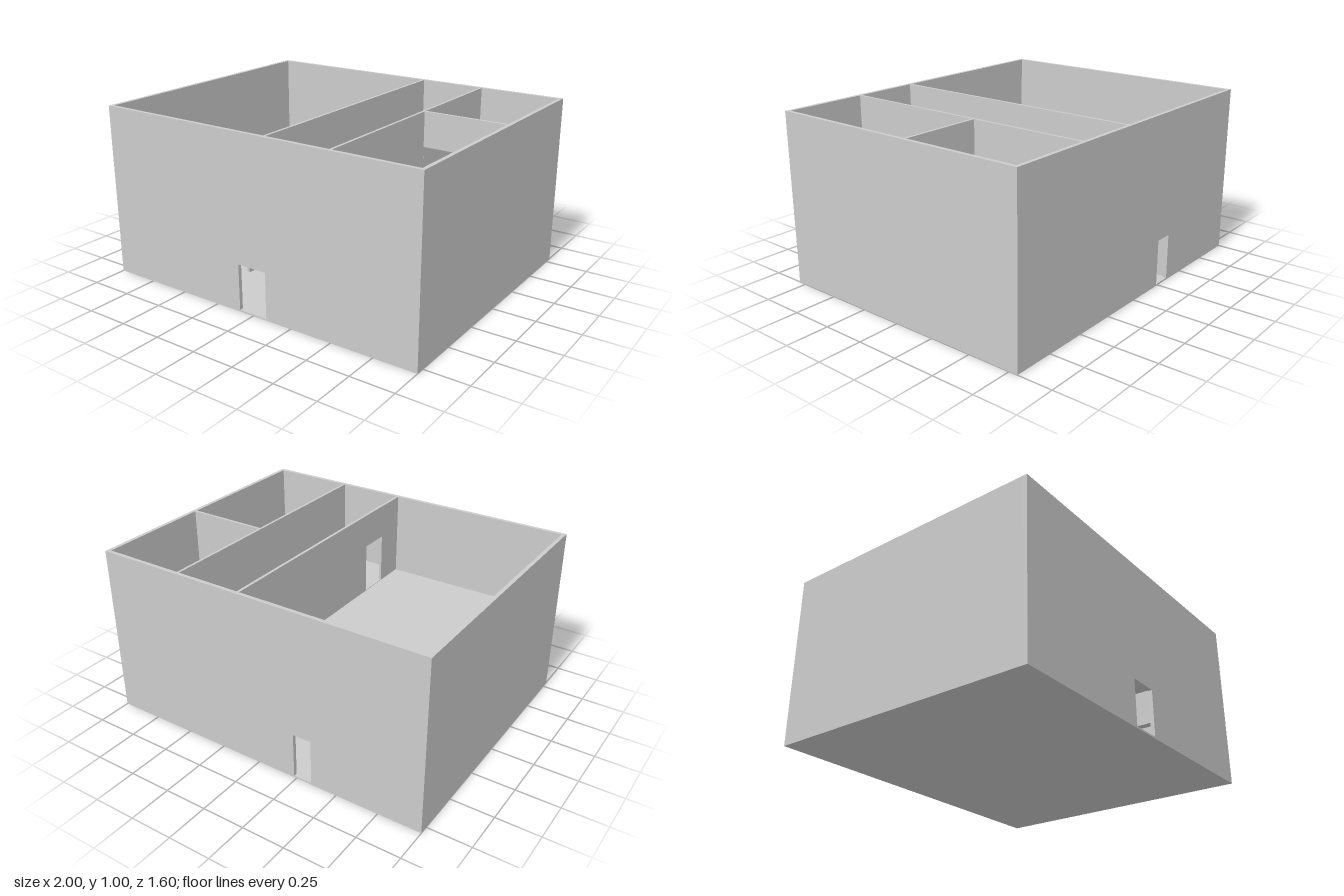
import * as THREE from 'three';

const material = new THREE.MeshStandardMaterial({ color: 0xcccccc, flatShading: true });

// Rectangle as a list of points, usable as an outline or as a hole
function rect(a0, b0, a1, b1) {
  return [[a0, b0], [a1, b0], [a1, b1], [a0, b1]].map(([a, b]) => new THREE.Vector2(a, b));
}

// Rectangular plate in the XY plane with rectangular holes, thickness along +z
function plate(outline, holes, depth) {
  const shape = new THREE.Shape(rect(...outline));
  holes.forEach(h => shape.holes.push(new THREE.Path(rect(...h).reverse())));
  return new THREE.ExtrudeGeometry(shape, { depth, bevelEnabled: false });
}

export function createModel() {
  const house = new THREE.Group();
  house.name = 'house';

  const add = (name, geometry) => {
    const mesh = new THREE.Mesh(geometry, material);
    mesh.name = name;
    house.add(mesh);
  };
  // Wall running along x, between z0 and z1; openings are [x0, y0, x1, y1]
  const wallX = (name, x0, x1, y0, y1, z0, z1, doors = []) =>
    add(name, plate([x0, y0, x1, y1], doors, z1 - z0).translate(0, 0, z0));
  // Wall running along z, between x0 and x1; openings are [z0, y0, z1, y1]
  const wallZ = (name, z0, z1, y0, y1, x0, x1, doors = []) =>
    add(name, plate([z0, y0, z1, y1], doors, x1 - x0).rotateY(-Math.PI / 2).translate(x1, 0, 0));
  // Horizontal slab; openings are [x0, z0, x1, z1]
  const slab = (name, outline, top, thickness, openings = []) =>
    add(name, plate(outline, openings, thickness).rotateX(Math.PI / 2).translate(0, top, 0));

  const W = 1, D = 0.8, T = 0.022;
  const IX = W - T, IZ = D - T;
  const ground = 0.01, upper = 0.5, slabT = 0.02;

  // Outer shell with front and back doors
  wallX('frontWall', -W, W, 0, 1, IZ, D, [[-0.09, ground, 0.09, 0.275]]);
  wallX('backWall', -W, W, 0, 1, -D, -IZ, [[-0.345, ground, -0.235, 0.275]]);
  wallZ('rightWall', -IZ, IZ, 0, 1, -W, -IX);
  wallZ('leftWall', -IZ, IZ, 0, 1, IX, W);

  // Floors, the upper one open above the stairs
  const stair = { x0: 0.102, x1: 0.285, z0: -0.57, z1: 0.295 };
  slab('groundFloor', [-IX, -IZ, IX, IZ], ground, ground);
  slab('upperFloor', [-IX, -IZ, IX, IZ], upper, slabT, [[stair.x0, stair.z0, stair.x1, stair.z1]]);

  // Ground floor partitions
  const gTop = upper - slabT;
  wallZ('groundRightPartition', -IZ, IZ, 0.005, gTop, -0.372, -0.356, [[0.41, ground, 0.59, 0.275]]);
  wallZ('groundLeftPartition', -IZ, IZ, 0.005, gTop, 0.483, 0.498, [[0.41, ground, 0.59, 0.275]]);

  // Upper floor partitions with doorways
  const yb = 0.49, sill = 0.503, head = 0.8;
  wallZ('hallRightPartition', -IZ, IZ, yb, 1, 0.086, 0.102, [[0.41, sill, 0.59, head]]);
  wallZ('hallLeftPartition', -IZ, IZ, yb, 1, 0.483, 0.498, [[-0.705, sill, -0.525, head]]);
  wallX('roomPartition', 0.498, IX, yb, 1, -0.103, -0.087, [[0.4985, sill, 0.68, head]]);

  // Solid staircase climbing from the front towards the back
  const steps = 50;
  const run = (stair.z1 - stair.z0) / steps, rise = (upper - ground) / steps;
  const profile = new THREE.Shape();
  profile.moveTo(stair.z0, ground);
  profile.lineTo(stair.z1, ground);
  for (let i = 0; i < steps; i++) {
    const y = ground + (i + 1) * rise;
    profile.lineTo(stair.z1 - i * run, y);
    profile.lineTo(stair.z1 - (i + 1) * run, y);
  }
  const width = stair.x1 - stair.x0;
  add('staircase', new THREE.ExtrudeGeometry(profile, { depth: width, bevelEnabled: false })
    .rotateY(-Math.PI / 2).translate(stair.x1, 0, 0));

  return house;
}
